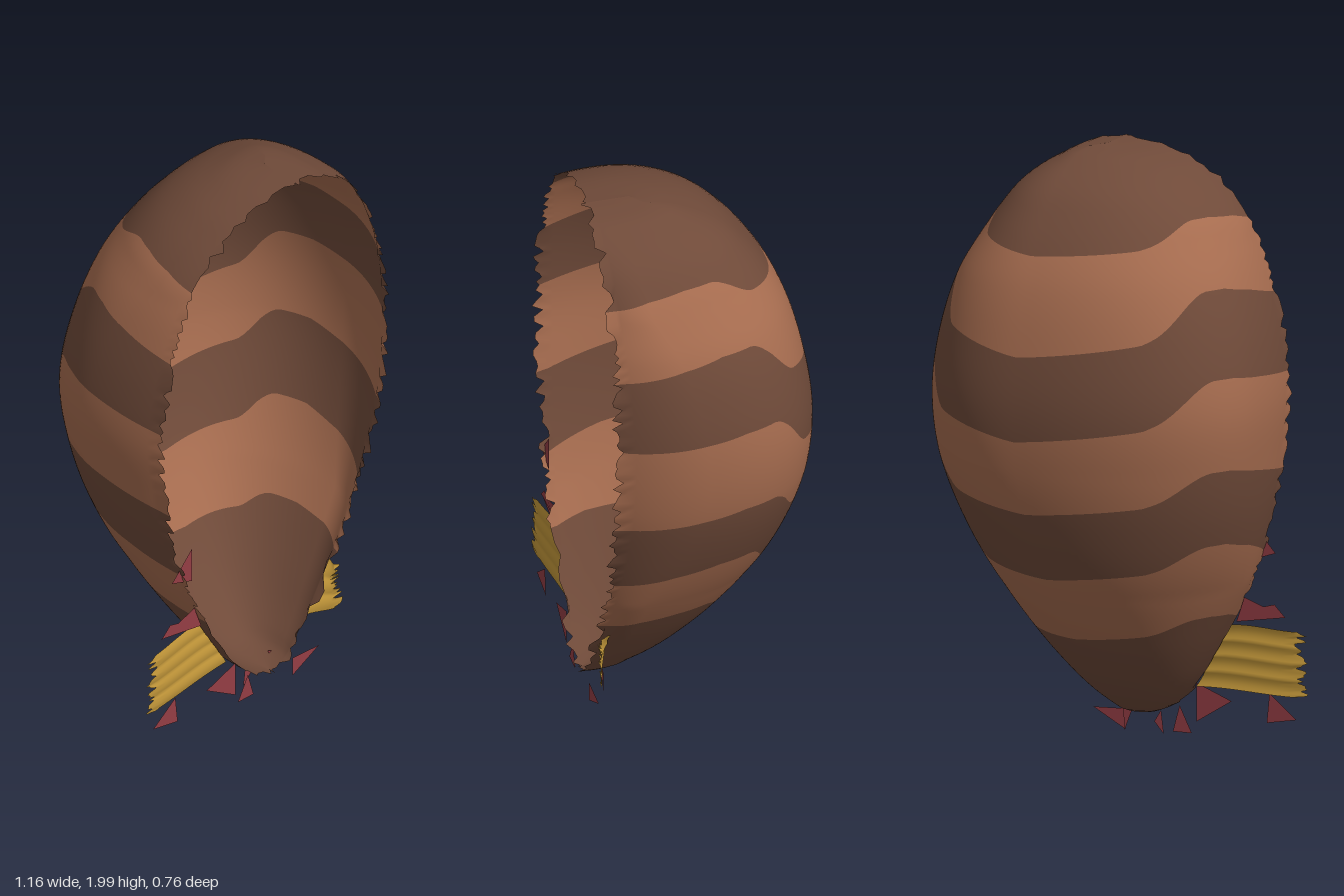
import * as THREE from 'three';

const mat = (name, color) => {
  const m = new THREE.MeshStandardMaterial({ color, side: THREE.DoubleSide });
  m.name = name;
  return m;
};

const RIM_Z = 0.34;
// Shell profile: height, right edge (-x), left edge (+x), rearmost z
const PROFILE = [
  [0.08, 0, 0, 0.33], [0.1, -0.06, 0.06, 0.22], [0.14, -0.12, 0.1, 0.14], [0.2, -0.175, 0.155, 0.06],
  [0.3, -0.245, 0.23, -0.04], [0.4, -0.305, 0.3, -0.12], [0.6, -0.41, 0.423, -0.245], [0.8, -0.48, 0.513, -0.325],
  [1, -0.522, 0.574, -0.373], [1.2, -0.542, 0.595, -0.387], [1.4, -0.517, 0.58, -0.36], [1.6, -0.457, 0.53, -0.305],
  [1.7, -0.412, 0.482, -0.255], [1.8, -0.35, 0.425, -0.185], [1.9, -0.235, 0.345, -0.085], [1.96, -0.12, 0.255, 0.03],
  [1.99, 0, 0.18, 0.12], [2, 0.1, 0.1, 0.2],
];
const profile = new THREE.CubicInterpolant(
  PROFILE.map((p) => p[0]), PROFILE.flatMap((p) => p.slice(1)), 3, new Float32Array(3));

// Stripe edges: height at the back, at the sides, and at the rim
const EDGES = [
  [0.08, 0.08, 0.08], [0.4, 0.47, 0.43], [0.62, 0.745, 0.66], [0.85, 1.01, 0.94],
  [1.1, 1.32, 1.27], [1.38, 1.6, 1.53], [1.7, 1.81, 1.77], [2, 2, 2],
];

const jag = (i) => { const s = Math.sin(i * 91.7) * 437.5; return s - Math.floor(s); };

// Height of a stripe edge at t: -1 and 1 are the rim, 0 is the back
function edgeHeight([back, side, rim], t) {
  const a = (Math.abs(t) / 0.75) * 90;
  if (a > 75) return THREE.MathUtils.lerp(side, rim, (a - 75) / 45);
  // slow climb across the back, then a quick step at the corner
  const rise = t > 0
    ? 0.4 * Math.min(1, a / 50) + 0.6 * THREE.MathUtils.smoothstep(a, 38, 60)
    : 0.3 * Math.min(1, a / 40) + 0.7 * THREE.MathUtils.smoothstep(a, 36, 66);
  return THREE.MathUtils.lerp(back, side, rise);
}

// Point on the shell at height y: squarish oval back, walls closing in toward the rim
function shellPoint(y, t) {
  const [xr, xl, zb] = profile.evaluate(THREE.MathUtils.clamp(y, 0.08, 2));
  const zc = zb + Math.min(0.44, 0.78 * (RIM_Z - zb));
  const xc = THREE.MathUtils.clamp(0.14 * (y - 0.1) / 0.9, xr, Math.min(0.14, xl));
  const sign = Math.sign(t);
  const w = t > 0 ? xl - xc : xc - xr;
  const u = Math.abs(t) / 0.75;
  if (u <= 1) {
    const a = u * Math.PI / 2, e = t > 0 ? 0.85 : 0.88;
    return [xc + sign * w * Math.sin(a) ** e, y, zc - (zc - zb) * Math.max(0, Math.cos(a)) ** e];
  }
  const f = (u - 1) * 3;
  const fade = Math.sqrt(Math.max(0, Math.sin(Math.PI * (y - 0.08) / 1.92)));
  const narrow = (t > 0 ? 0.2 : 0.062) * fade * f * f;
  return [xc + sign * w * (1 - narrow), y, zc + f * (RIM_Z - zc)];
}

// Open striped shell in one smooth skin, with a material group per stripe
function makeShell(dark, light) {
  const cols = 96, per = 16, bands = EDGES.length - 1, rows = bands * per;
  const pos = [], index = [];
  for (let r = 0; r <= rows; r++) {
    const b = Math.min(Math.floor(r / per), bands - 1);
    let s = r / per - b;
    if (b === 0) s = s * s;
    if (b === bands - 1) s = 1 - (1 - s) * (1 - s);
    for (let c = 0; c <= cols; c++) {
      const t = (c / cols) * 2 - 1;
      const y = THREE.MathUtils.lerp(edgeHeight(EDGES[b], t), edgeHeight(EDGES[b + 1], t), s);
      const p = shellPoint(y, t);
      // torn rim
      if (c === 0 || c === cols) p[2] += jag(r + c * 3) * 0.04 - 0.012;
      pos.push(...p);
    }
  }
  const n = cols + 1;
  for (let r = 0; r < rows; r++) for (let c = 0; c < cols; c++) {
    const a = r * n + c;
    index.push(a, a + n, a + 1, a + 1, a + n, a + n + 1);
  }
  const geo = new THREE.BufferGeometry();
  geo.setAttribute('position', new THREE.Float32BufferAttribute(pos, 3));
  geo.setIndex(index);
  geo.computeVertexNormals();
  for (let b = 0; b < bands; b++) geo.addGroup(b * per * cols * 6, per * cols * 6, b % 2);
  const mesh = new THREE.Mesh(geo, [dark, light]);
  mesh.name = 'stripedShell';
  return mesh;
}

// Gently rippled strip, sweeping forward to a ragged outer end
function makeStraw(name, material, inner, outer, y0, y1, ridges, seed) {
  const geo = new THREE.PlaneGeometry(1, 1, 8, 32);
  const p = geo.attributes.position;
  for (let i = 0; i < p.count; i++) {
    const u = p.getX(i) + 0.5, v = p.getY(i) + 0.5;
    const row = Math.floor(i / 9);
    const ragged = u > 0.99 ? (jag(row + seed) - 0.6) * 0.05 : 0;
    const x = THREE.MathUtils.lerp(inner(v), outer(v), u) + ragged * Math.sign(outer(v));
    const y = THREE.MathUtils.lerp(y0, y1, v) + 0.006 * Math.sin(u * 4 + 1);
    p.setXYZ(i, x, y, 0.31 + 0.035 * u + 0.005 * Math.abs(Math.sin(v * Math.PI * ridges)));
  }
  geo.computeVertexNormals();
  const mesh = new THREE.Mesh(geo, material);
  mesh.name = name;
  return mesh;
}

// Loose triangular scraps: three corners and depth
const SCRAPS = [
  [-0.53, 0.1, -0.42, 0.08, -0.43, 0.18, 0.34],
  [-0.49, 0.44, -0.31, 0.41, -0.34, 0.495, 0.335],
  [-0.49, 0.44, -0.34, 0.45, -0.45, 0.48, 0.337],
  [-0.45, 0.65, -0.36, 0.62, -0.36, 0.75, 0.345],
  [-0.29, 0.14, -0.16, 0.06, -0.16, 0.19, 0.34],
  [-0.145, 0.02, -0.075, 0.02, -0.1, 0.11, 0.335],
  [-0.07, 0.02, -0.035, 0.06, -0.06, 0.1, 0.28],
  [0.1, 0.01, 0.22, 0.075, 0.1, 0.08, 0.335],
  [0.075, 0.02, 0.08, 0.09, 0.04, 0.11, 0.28],
];

export function createModel() {
  const dark = mat('dark brown', 0x6f4a39);
  const light = mat('light brown', 0xa66c4f);
  const straw = mat('straw yellow', 0xc4983a);
  const red = mat('dull red', 0x943d44);

  const model = new THREE.Group();
  model.name = 'stripedHusk';
  model.add(makeShell(dark, light));
  model.add(makeStraw('rightStraw', straw, (v) => -0.175 - 0.13 * v, () => -0.55, 0.18, 0.4, 4, 3));
  model.add(makeStraw('leftStraw', straw, (v) => 0.16 + 0.12 * v, (v) => 0.3 - 0.02 * v, 0.2, 0.38, 3, 50));

  const scraps = new THREE.Group();
  scraps.name = 'scraps';
  for (const [ax, ay, bx, by, cx, cy, z] of SCRAPS) {
    const tri = new THREE.Shape([[ax, ay], [bx, by], [cx, cy]].map((q) => new THREE.Vector2(...q)));
    const mesh = new THREE.Mesh(new THREE.ShapeGeometry(tri), red);
    mesh.name = 'scrap';
    mesh.position.z = z;
    scraps.add(mesh);
  }
  model.add(scraps);
  return model;
}
